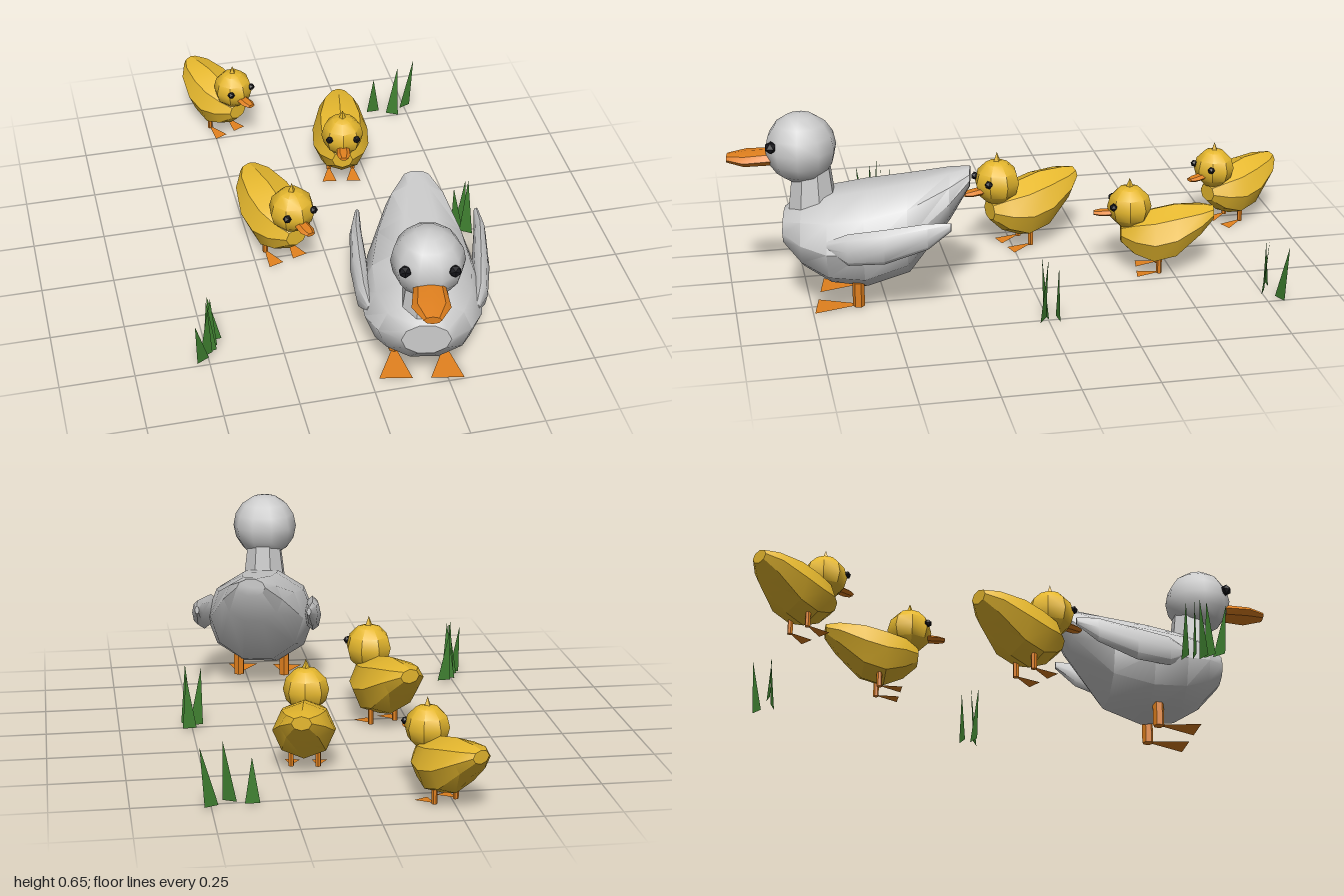
import * as THREE from 'three';
import { toCreasedNormals } from 'three/addons/utils/BufferGeometryUtils.js';

const mat = (color, side = THREE.FrontSide) => new THREE.MeshStandardMaterial({ color, side });
const white = mat(0xcccccc);
const yellow = mat(0xe6b82e);
const orange = mat(0xe0801e);
const footOrange = mat(0xe0801e, THREE.DoubleSide);
const black = mat(0x15151a);
const green = mat(0x3f8030, THREE.DoubleSide);

function add(parent, name, geometry, material, x = 0, y = 0, z = 0) {
  const mesh = new THREE.Mesh(geometry, material);
  mesh.name = name;
  mesh.position.set(x, y, z);
  parent.add(mesh);
  return mesh;
}

// Skin over elliptical rings, listed back to front: [z, centreY, halfWidth, halfHeight, centreX]
function loft(rings, sides, crease = 0.6) {
  const pos = [], idx = [];
  for (const [z, y, w, h, x = 0] of rings) {
    for (let j = 0; j < sides; j++) {
      const t = (j / sides) * Math.PI * 2;
      pos.push(x + w * Math.cos(t), y + h * Math.sin(t), z);
    }
  }
  const last = rings.length - 1;
  for (let i = 0; i < last; i++) {
    for (let j = 0; j < sides; j++) {
      const k = (j + 1) % sides, a = i * sides, b = a + sides;
      idx.push(a + j, a + k, b + j, a + k, b + k, b + j);
    }
  }
  // End caps
  for (const r of [0, last]) {
    const [z, y, , , x = 0] = rings[r];
    const c = pos.length / 3;
    pos.push(x, y, z);
    for (let j = 0; j < sides; j++) {
      const p = r * sides + j, q = r * sides + ((j + 1) % sides);
      if (r === 0) idx.push(c, q, p);
      else idx.push(c, p, q);
    }
  }
  const g = new THREE.BufferGeometry();
  g.setAttribute('position', new THREE.Float32BufferAttribute(pos, 3));
  g.setIndex(idx);
  return toCreasedNormals(g, crease);
}

function triangle(points) {
  const g = new THREE.BufferGeometry();
  g.setAttribute('position', new THREE.Float32BufferAttribute(points, 3));
  g.computeVertexNormals();
  return g;
}

const ball = (r, w, h, crease) => toCreasedNormals(new THREE.SphereGeometry(r, w, h), crease);

// Pair of legs with flat webbed feet
function addLegs(parent, spread, z, r, height, footLength, footWidth) {
  for (const s of [1, -1]) {
    const side = s > 0 ? 'left' : 'right';
    const leg = new THREE.CylinderGeometry(r, r, height, 6);
    add(parent, side + 'Leg', toCreasedNormals(leg, 0.5), orange, s * spread, height / 2 + 0.005, z);
    const f = footLength, w = footWidth / 2;
    add(parent, side + 'Foot', triangle([0, 0.01, -0.1 * f, -w, 0, f, w, 0, f]), footOrange, s * spread, 0, z);
  }
}

function addEyes(parent, spread, y, z, r) {
  for (const s of [1, -1]) {
    add(parent, s > 0 ? 'leftEye' : 'rightEye', new THREE.IcosahedronGeometry(r, 0), black, s * spread, y, z);
  }
}

function createMother() {
  const duck = new THREE.Group();
  duck.name = 'motherDuck';
  add(duck, 'body', loft([
    [-0.34, 0.435, 0.05, 0.032],
    [-0.275, 0.375, 0.105, 0.085],
    [-0.14, 0.27, 0.17, 0.165],
    [0, 0.235, 0.2, 0.178],
    [0.12, 0.23, 0.19, 0.16],
    [0.21, 0.245, 0.15, 0.12],
    [0.275, 0.26, 0.08, 0.06],
  ], 10, 0.7), white);
  const neck = new THREE.CylinderGeometry(0.064, 0.084, 0.16, 8, 1);
  neck.rotateY(Math.PI / 8);
  add(duck, 'neck', toCreasedNormals(neck, 0.5), white, 0, 0.395, 0.18);
  add(duck, 'head', ball(0.118, 10, 8, 0.75), white, 0, 0.535, 0.212);
  addEyes(duck, 0.077, 0.56, 0.3, 0.021);
  add(duck, 'beak', loft([
    [0.3, 0.502, 0.05, 0.026],
    [0.395, 0.497, 0.061, 0.024],
    [0.455, 0.497, 0.028, 0.014],
  ], 8, 0.5), orange);
  // Folded wings
  for (const s of [1, -1]) {
    add(duck, s > 0 ? 'leftWing' : 'rightWing', loft([
      [-0.285, 0.335, 0.008, 0.014, s * 0.2],
      [-0.21, 0.305, 0.02, 0.045, s * 0.207],
      [-0.07, 0.265, 0.03, 0.06, s * 0.2],
      [0.05, 0.25, 0.025, 0.055, s * 0.19],
      [0.12, 0.255, 0.01, 0.016, s * 0.172],
    ], 8, 0.7), white);
  }
  addLegs(duck, 0.085, 0.03, 0.02, 0.085, 0.14, 0.11);
  return duck;
}

function createDuckling() {
  const chick = new THREE.Group();
  chick.name = 'duckling';
  add(chick, 'body', loft([
    [-0.197, 0.225, 0.035, 0.025],
    [-0.15, 0.2, 0.078, 0.056],
    [-0.06, 0.155, 0.108, 0.102],
    [0.02, 0.135, 0.108, 0.104],
    [0.09, 0.14, 0.085, 0.078],
    [0.14, 0.147, 0.04, 0.036],
  ], 8, 0.5), yellow);
  add(chick, 'head', ball(0.081, 8, 6, 0.6), yellow, 0, 0.25, 0.11);
  const crest = new THREE.ConeGeometry(0.02, 0.05, 4);
  add(chick, 'crest', toCreasedNormals(crest, 0.3), yellow, 0, 0.335, 0.11);
  addEyes(chick, 0.052, 0.265, 0.17, 0.015);
  add(chick, 'beak', loft([
    [0.17, 0.226, 0.024, 0.013],
    [0.215, 0.225, 0.026, 0.011],
    [0.24, 0.225, 0.016, 0.007],
  ], 6, 0.5), orange);
  addLegs(chick, 0.047, 0, 0.01, 0.055, 0.08, 0.055);
  return chick;
}

// Blades: [baseX, baseZ, yaw, height, tipShiftX, tipShiftZ]
function createGrass(blades) {
  const tuft = new THREE.Group();
  tuft.name = 'grassTuft';
  for (const [x, z, yaw, h, dx, dz] of blades) {
    const c = 0.024 * Math.cos(yaw), s = 0.024 * Math.sin(yaw);
    add(tuft, 'blade', triangle([-c, 0, s, c, 0, -s, dx, h, dz]), green, x, 0.008, z);
  }
  return tuft;
}

export function createModel() {
  const model = new THREE.Group();
  model.name = 'duckFamily';

  const mother = createMother();
  mother.position.set(0.2, 0, 0.55);
  mother.rotation.y = -0.2;
  model.add(mother);

  // Ducklings following in line: [x, z, yaw, scale]
  for (const [x, z, yaw, scale] of [
    [-0.16, -0.05, 0.31, 1],
    [0.167, -0.457, -0.18, 0.94],
    [-0.223, -0.84, 0.45, 0.89],
  ]) {
    const chick = createDuckling();
    chick.position.set(x, 0, z);
    chick.rotation.y = yaw;
    chick.scale.setScalar(scale);
    model.add(chick);
  }

  model.add(createGrass([
    [-0.52, 0.485, 0.5, 0.17, -0.025, 0.02],
    [-0.505, 0.46, 0.4, 0.2, 0.01, 0],
    [-0.49, 0.445, 0.2, 0.21, -0.005, -0.01],
    [-0.485, 0.415, -0.2, 0.21, 0.005, 0.01],
    [-0.465, 0.39, 0.1, 0.19, -0.02, 0],
  ]));
  model.add(createGrass([
    [0.51, -0.03, 0.1, 0.19, 0.01, 0],
    [0.485, 0.005, 0.2, 0.2, -0.02, 0.01],
    [0.515, 0.02, -0.6, 0.22, 0.005, -0.015],
  ]));
  model.add(createGrass([
    [0.372, -0.782, 0, 0.15, 0, 0.005],
    [0.44, -0.75, -0.5, 0.2, 0.02, -0.01],
    [0.5, -0.79, 0.4, 0.2, 0.035, -0.015],
  ]));
  return model;
}
